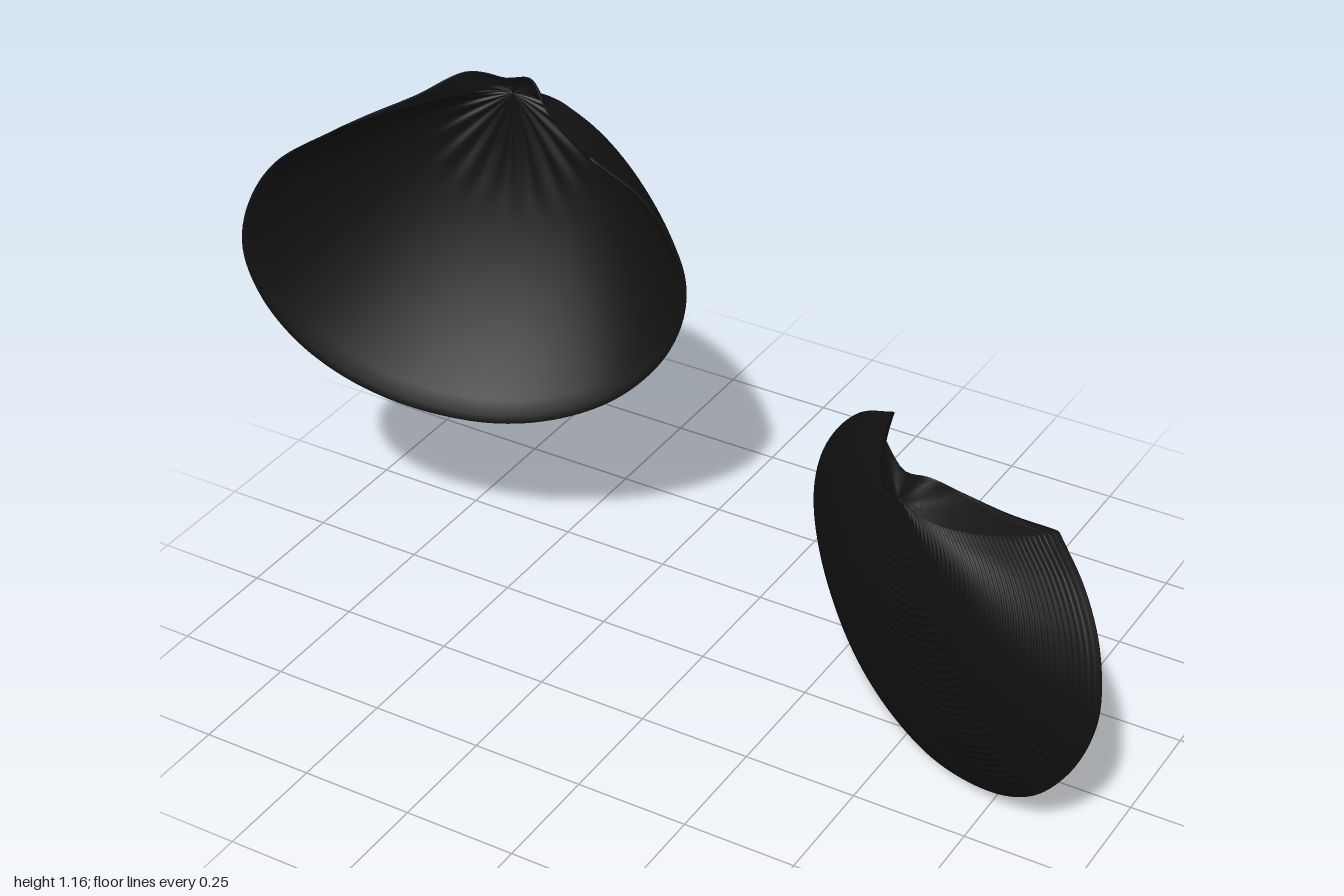
import * as THREE from 'three';

const material = new THREE.MeshStandardMaterial({ color: 0x111111 });
const THICKNESS = 0.02, RINGS = 40, OUTER_ROWS = 160, INNER_ROWS = 24;

// Smooth curve through [x, y, height above the rim plane] points
const sample = (points, count) => new THREE.CatmullRomCurve3(
  points.map(([x, y, h = 0]) => new THREE.Vector3(x, y, h)), false, 'centripetal'
).getSpacedPoints(count).slice(0, -1);

// One half shell: grows from the beak to the rim, with an outer ringed skin and a smooth inner skin
function makeValve(name, { rim, hinge, beak, plane, facing }) {
  const edge = [...sample(rim, 108), ...sample(hinge, 48)];
  const cols = edge.length;
  const [bx, by, depth] = beak;
  const positions = [], indices = [];

  const addRow = (t, inner) => {
    edge.forEach((e, i) => {
      const s = inner ? t * 0.972 : t;
      const x = bx + (e.x - bx) * s;
      const y = by + (e.y - by) * s;
      let h = e.z + (depth - (inner ? THICKNESS : 0) - e.z) * (1 - t * t);
      const fade = Math.min(1, t * 8) * Math.min(1, (1 - t) * 12);
      if (!inner) h += 0.0018 * Math.sin(t * RINGS * Math.PI * 2) * fade;
      // faint hinge ridges fanning out under the beak
      else if (t < 0.4) h += 0.003 * Math.sin(t / 0.4 * Math.PI) * Math.cos(i / cols * Math.PI * 36);
      positions.push(x, y, plane(x, y) + facing * h);
    });
  };
  for (let j = 0; j <= OUTER_ROWS; j++) addRow(j / OUTER_ROWS, false);
  for (let j = INNER_ROWS; j >= 0; j--) addRow(j / INNER_ROWS, true);

  const rows = positions.length / 3 / cols;
  for (let j = 0; j < rows - 1; j++) {
    for (let i = 0; i < cols; i++) {
      const k = (i + 1) % cols;
      const a = j * cols + i, b = j * cols + k, c = a + cols, d = b + cols;
      indices.push(a, b, c, b, d, c);
    }
  }
  const geometry = new THREE.BufferGeometry();
  geometry.setAttribute('position', new THREE.Float32BufferAttribute(positions, 3));
  geometry.setIndex(indices);
  geometry.computeVertexNormals();
  const mesh = new THREE.Mesh(geometry, material);
  mesh.name = name;
  return mesh;
}

export function createModel() {
  const group = new THREE.Group();
  group.name = 'clamShell';

  // Lower valve, showing its domed outside to the front
  group.add(makeValve('leftValve', {
    facing: 1,
    beak: [0.55, 0.715, 0.262],
    plane: (x, y) => 0.488 * (x - 0.58) - 0.15 * (y - 0.4),
    rim: [[0.84, 0.67], [0.92, 0.6], [0.975, 0.51], [1, 0.39], [0.985, 0.3], [0.94, 0.2],
      [0.86, 0.1], [0.75, 0.035], [0.58, 0], [0.42, 0.03], [0.3, 0.1], [0.2, 0.22],
      [0.155, 0.34], [0.16, 0.44], [0.2, 0.53], [0.27, 0.61], [0.36, 0.66]],
    hinge: [[0.36, 0.66], [0.385, 0.695, 0.06], [0.43, 0.728, 0.15], [0.48, 0.767, 0.215],
      [0.54, 0.753, 0.23], [0.6, 0.765, 0.215], [0.66, 0.73, 0.15], [0.75, 0.698, 0.08], [0.84, 0.67]],
  }));

  // Upper valve, showing its hollow inside to the front
  group.add(makeValve('rightValve', {
    facing: -1,
    beak: [-0.59, 1.1, 0.272],
    plane: (x) => -0.42 * (x + 0.56) + 0.015,
    rim: [[-0.79, 1.12], [-0.92, 1.03], [-0.98, 0.93], [-1, 0.82], [-0.97, 0.7], [-0.9, 0.59],
      [-0.8, 0.505], [-0.68, 0.45], [-0.53, 0.425], [-0.4, 0.445], [-0.28, 0.505], [-0.19, 0.6],
      [-0.145, 0.7], [-0.135, 0.8], [-0.16, 0.9], [-0.22, 1], [-0.31, 1.08]],
    hinge: [[-0.31, 1.08], [-0.4, 1.095, 0.08], [-0.48, 1.115, 0.16], [-0.54, 1.152, 0.22],
      [-0.6, 1.14, 0.24], [-0.66, 1.16, 0.22], [-0.72, 1.135, 0.14], [-0.765, 1.125, 0.06], [-0.79, 1.12]],
  }));
  return group;
}
